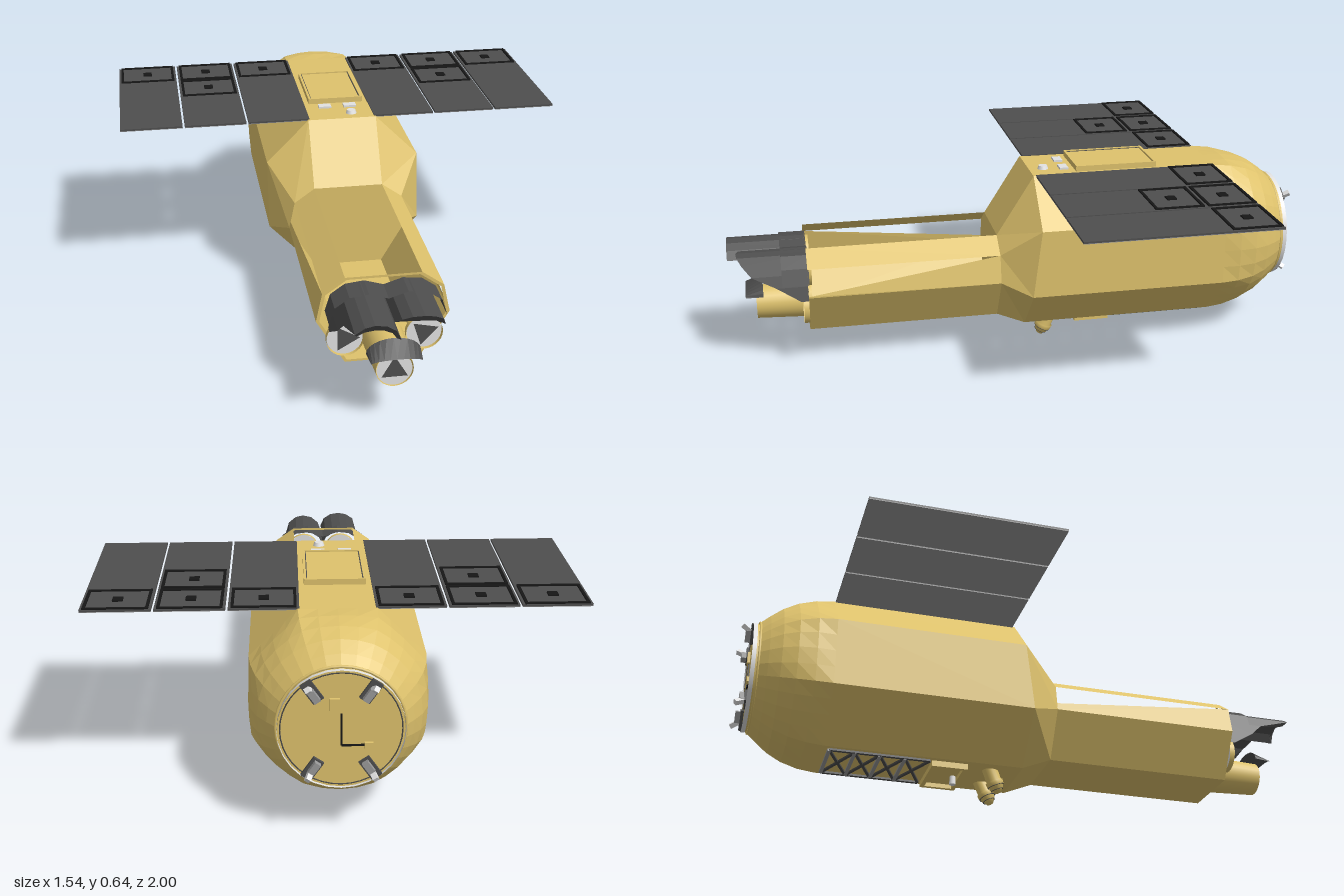
import * as THREE from 'three';

const mat = (name, color) => new THREE.MeshStandardMaterial({ name, color, side: THREE.DoubleSide });

export function createModel() {
  const root = new THREE.Group();
  const gold = mat('gold foil', 0xdec26c), dark = mat('dark grey', 0x4e4e4e), black = mat('black', 0x161616);
  const light = mat('light grey', 0xe2e2e2), grey = mat('mid grey', 0x999999);

  const add = (name, geo, m, x = 0, y = 0, z = 0, parent = root) => {
    const o = new THREE.Mesh(geo, m);
    o.name = name;
    o.position.set(x, y, z);
    parent.add(o);
    return o;
  };
  const box = (name, m, w, h, d, x, y, z, parent) => add(name, new THREE.BoxGeometry(w, h, d), m, x, y, z, parent);
  // cylinder lying along z
  const tube = (name, m, r, z0, z1, x, y, open = false, r2 = r) =>
    add(name, new THREE.CylinderGeometry(r2, r, z1 - z0, 28, 1, open).rotateX(Math.PI / 2), m, x, y, (z0 + z1) / 2);
  // faceted skin through rows of points
  const skin = (rows, closed = true) => {
    const p = [];
    for (let k = 0; k + 1 < rows.length; k++) {
      const A = rows[k], B = rows[k + 1], n = A.length;
      for (let i = 0; i < (closed ? n : n - 1); i++) {
        const j = (i + 1) % n;
        p.push(...A[i], ...B[i], ...A[j], ...A[j], ...B[i], ...B[j]);
      }
    }
    const g = new THREE.BufferGeometry();
    g.setAttribute('position', new THREE.Float32BufferAttribute(p, 3));
    g.computeVertexNormals();
    return g;
  };

  // octagonal hull: narrow nose section, wide body, rounded tail
  const CY = 0.352;
  const mirror = half => [half[0], ...half.map(([x, y, z]) => [-x, y, z]), ...half.slice(1).reverse()];
  const nose = mirror([[0.12, 0.42, 0.08], [0.19, 0.37, 0.08], [0.21, 0.275, 0.08], [0.12, 0.122, 0.08]]);
  const wide = mirror([[0.12, 0.625, -0.05], [0.27, 0.475, -0.05], [0.27, 0.238, -0.02], [0.12, 0.08, -0.02]]);
  const at = (ring, z) => ring.map(([x, y]) => [x, y, z]);
  add('hull', skin([nose.map(() => [0, 0.28, 0.08]), nose, wide, at(wide, -0.7)]), gold);

  const fine = wide.flatMap((a, i) => {
    const b = wide[(i + 1) % 8];
    return [0, 0.25, 0.5, 0.75].map(t => [a[0] + (b[0] - a[0]) * t, a[1] + (b[1] - a[1]) * t]);
  });
  const tail = [[-0.7, 0.28, 0], [-0.76, 0.278, 0.35], [-0.82, 0.263, 0.7], [-0.87, 0.243, 0.92],
    [-0.91, 0.217, 1], [-0.937, 0.194, 1]];
  add('tailDome', skin(tail.map(([z, r, f]) => fine.map(([x, y]) => {
    const a = Math.atan2(y - CY, x);
    return [x + (r * Math.cos(a) - x) * f, y + (CY + r * Math.sin(a) - y) * f, z];
  }))), gold);
  tube('tailPlate', gold, 0.186, -0.958, -0.93, 0, CY);
  add('tailRim', new THREE.TorusGeometry(0.19, 0.005, 6, 40), gold, 0, CY, -0.94);
  tube('tailBand', light, 0.188, -0.964, -0.95, 0, CY, true);
  add('tailSeam', new THREE.TorusGeometry(0.178, 0.002, 4, 40), dark, 0, CY, -0.958);

  // tail fittings
  for (const sx of [-1, 1]) for (const sy of [-1, 1]) {
    const g = new THREE.Group();
    g.name = 'latch';
    g.position.set(sx * 0.085, CY + sy * 0.123, -0.96);
    g.rotation.z = -sx * sy * 0.6;
    root.add(g);
    box('latchBase', dark, 0.036, 0.07, 0.01, 0, 0, -0.004, g);
    box('latchPost', grey, 0.02, 0.04, 0.02, 0, -sy * 0.01, -0.016, g);
    box('latchHook', light, 0.016, 0.016, 0.042, 0, sy * 0.014, -0.021, g).rotation.x = sy * 0.6;
  }
  box('tailPipe', black, 0.005, 0.1, 0.006, 0, CY, -0.96);
  box('tailPipe', black, 0.08, 0.005, 0.006, -0.04, CY - 0.05, -0.96);
  box('tailPipeEnd', gold, 0.025, 0.018, 0.01, -0.08, CY - 0.05, -0.962);
  box('tailCover', gold, 0.03, 0.04, 0.01, 0.02, CY + 0.08, -0.962);

  // open instrument bay: trough, side webs and upper rails
  const F = 0.735, R = 0.08;
  const trough = [[-0.21, 0.275], [-0.12, 0.122], [0.12, 0.122], [0.21, 0.275]];
  add('bayTrough', skin([at(trough, F), at(trough, R)], false), gold);
  add('bayWebLeft', skin([[[0.21, 0.275, F], [0.21, 0.275, R]], [[0.21, 0.28, F], [0.19, 0.37, R]]], false), gold);
  add('bayWebRight', skin([[[-0.21, 0.275, F], [-0.21, 0.275, R]], [[-0.19, 0.37, F], [-0.206, 0.3, R]]], false), gold);
  for (const s of [-1, 1]) {
    const rail = [[s * 0.19, 0.37], [s * 0.12, 0.42]];
    add('bayRail', skin([at(rail, F), at(rail, R)], false), gold);
  }
  const rim = at(nose, F);
  add('bayRim', skin([rim, rim.map(([x, y, z]) => [x * 0.95, 0.27 + (y - 0.27) * 0.95, z])]), gold);

  // five apertures, each a light disc with a dark wedge [x, y, radius, disc z, wedge turn]
  const apertures = [
    [-0.07, 0.335, 0.058, 0.73, -0.1], [0.08, 0.335, 0.058, 0.73, -1.4],
    [-0.122, 0.215, 0.056, 0.745, 0], [0.128, 0.215, 0.056, 0.745, 0.3], [0.003, 0.19, 0.055, 0.905, 1.57],
  ];
  for (const [x, y, r, z, turn] of apertures) {
    add('apertureDisc', new THREE.CircleGeometry(r, 28), light, x, y, z);
    add('apertureWedge', new THREE.CircleGeometry(r * 0.85, 3).rotateZ(turn), dark, x, y, z + 0.004);
    if (z < 0.9) tube('apertureBarrel', gold, r + 0.003, z - 0.01, z + 0.008, x, y, true);
  }
  tube('centreBarrel', gold, 0.066, 0.72, 0.91, 0.003, 0.192, true, 0.058);

  // dark hoods: arched shells with an inner lip, front edge swept back on the outer flank
  const arch = [[-0.002, 0.35], [0.012, 0.38], [0.04, 0.398], [0.075, 0.403], [0.105, 0.397], [0.134, 0.378],
    [0.148, 0.34], [0.16, 0.3], [0.172, 0.25]];
  const hood = (name, s, dx, front) => {
    const point = (i, z) => [s * (arch[i][0] + dx), arch[i][1], z];
    const lip = arch.map(([x, y], i) => [
      s * (0.075 + (x - 0.075) * 0.87 + dx), y > 0.335 ? 0.335 + (y - 0.335) * 0.6 : y, front[i] - 0.02]);
    add(name, skin([lip, arch.map((_, i) => point(i, front[i])), arch.map((_, i) => point(i, 0.735))], false), dark);
  };
  hood('hoodRight', -1, 0, [1, 1, 1, 1, 1, 1, 0.88, 0.84, 0.76]);
  hood('hoodLeft', 1, 0.004, [0.9, 0.94, 0.96, 0.968, 0.965, 0.95, 0.92, 0.84, 0.76]);
  for (const s of [-1, 1]) {
    const cuff = [[0, 0.385], [0.06, 0.404], [0.12, 0.397], [0.165, 0.365], [0.182, 0.31]].map(([x, y]) => [s * x, y]);
    add('hoodCuff', skin([at(cuff, 0.82), at(cuff, 0.73)], false), dark);
  }
  // crescent visor over the centre barrel, leaning back
  const visorRow = (r, h, z, y0) => Array.from({ length: 13 }, (_, i) => {
    const a = Math.PI * i / 12;
    return [0.003 + r * Math.cos(a), y0 + h * Math.sin(a), z];
  });
  add('centreVisor', skin([visorRow(0.078, 0.01, 0.945, 0.238), visorRow(0.084, 0.047, 0.885, 0.24)], false), dark);

  // solar wings: three thin panels per side with pale grey backs and framed cells
  const cell = (x, z) => {
    const g = new THREE.Group();
    g.name = 'solarCell';
    g.position.set(x, 0.629, z);
    root.add(g);
    for (const s of [-1, 1]) {
      box('cellFrame', black, 0.198, 0.006, 0.009, 0, 0, s * 0.077, g);
      box('cellFrame', black, 0.009, 0.006, 0.162, s * 0.0945, 0, 0, g);
    }
    box('cellCentre', black, 0.032, 0.006, 0.032, 0, 0, 0, g);
  };
  for (const s of [-1, 1]) for (let i = 0; i < 3; i++) {
    const x = s * (0.222 + i * 0.2215);
    box('solarPanel', dark, 0.214, 0.006, 0.635, x, 0.6245, -0.377);
    box('solarPanelBack', grey, 0.214, 0.002, 0.635, x, 0.6205, -0.377);
    cell(x, -0.61);
    if (i === 1) cell(x, -0.435);
  }
  // dark patch on the back of the left wing
  add('panelBackPatch', skin([[[0.52, 0.6185, -0.69], [0.34, 0.6185, -0.69]],
    [[0.4, 0.6185, -0.44], [0.34, 0.6185, -0.5]]], false), dark);

  // top hatch and small fittings
  box('topHatch', gold, 0.176, 0.018, 0.268, 0, 0.631, -0.35);
  for (const s of [-1, 1]) {
    box('hatchFrame', gold, 0.008, 0.022, 0.284, s * 0.094, 0.633, -0.35);
    box('hatchFrame', gold, 0.19, 0.022, 0.008, 0, 0.633, -0.35 + s * 0.14);
    box('hatchSeam', dark, 0.003, 0.004, 0.272, s * 0.0885, 0.6395, -0.35);
    box('topSensor', light, 0.045, 0.008, 0.03, s * 0.045, 0.628, -0.17);
  }
  add('topAntenna', new THREE.CylinderGeometry(0.015, 0.02, 0.014, 12), light, 0.04, 0.63, -0.1);

  // underside hatch, open lattice and fittings
  for (const s of [-1, 1]) {
    box('lowerHatchFrame', gold, 0.2, 0.02, 0.014, 0, 0.07, -0.27 + s * 0.055);
    box('lowerHatchFrame', gold, 0.014, 0.02, 0.12, s * 0.093, 0.07, -0.27);
    box('latticeRail', dark, 0.012, 0.008, 0.34, s * 0.1, 0.077, -0.51);
  }
  box('lowerHatch', gold, 0.18, 0.006, 0.11, 0, 0.078, -0.27);
  for (let i = 0; i < 4; i++) {
    const z = -0.3825 - i * 0.085;
    for (const s of [-1, 1]) box('latticeBrace', dark, 0.215, 0.006, 0.01, 0, 0.076, z).rotation.y = s * 0.4;
    box('latticeBar', grey, 0.2, 0.008, 0.012, 0, 0.076, z - 0.0425);
  }
  add('lowerProbe', new THREE.CylinderGeometry(0.01, 0.012, 0.03, 10), light, 0.01, 0.06, -0.235);

  // ribbed sensor cones under the body
  const cone = new THREE.LatheGeometry([[0, 0], [0.012, 0], [0.018, 0.012], [0.022, 0.012], [0.026, 0.026], [0.029, 0.026],
    [0.031, 0.042], [0.026, 0.044], [0.026, 0.095]].map(([x, y]) => new THREE.Vector2(x, y)), 20);
  for (const s of [-1, 1]) {
    const c = add('sensorCone', cone, gold, s * 0.053, 0.006, -0.088);
    c.rotation.set(-0.4, 0, -s * 0.1);
    for (const [r, y] of [[0.021, 0.012], [0.028, 0.026]])
      add('coneRib', new THREE.TorusGeometry(r, 0.0015, 6, 20).rotateX(Math.PI / 2), dark, 0, y, 0, c);
  }
  return root;
}
